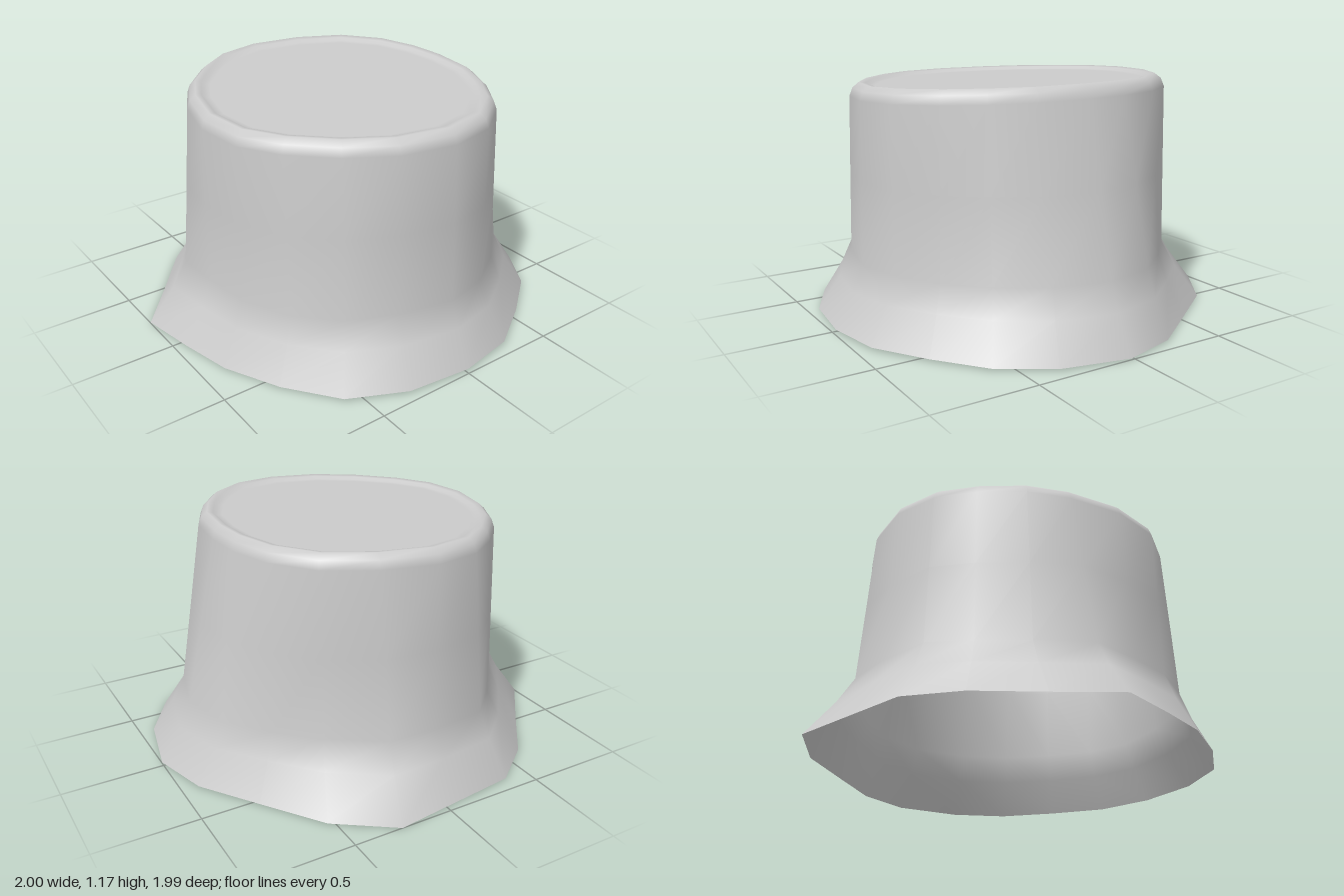
import * as THREE from 'three';

// Outlines as x, z pairs, all running from +x towards +z
const HEM = [1, .02, .93, .35, .78, .59, .55, .77, .3, .93, .01, .985, -.31, .95, -.58, .82, -.76, .58, -.89, .31,
  -.95, .04, -1, -.24, -.8, -.49, -.6, -.75, -.38, -.92, -.06, -.96, .26, -1, .53, -.81, .73, -.53, .92, -.26];
const WAIST = [.84, .01, .77, .28, .63, .5, .45, .66, .25, .79, .02, .845, -.25, .79, -.48, .69, -.65, .51, -.76, .27,
  -.79, .03, -.8, -.2, -.64, -.43, -.48, -.62, -.32, -.77, -.05, -.8, .2, -.79, .45, -.62, .62, -.45, .78, -.25];
const CROWN = [.67, .02, .64, .27, .55, .47, .43, .64, .24, .78, .01, .825, -.25, .77, -.46, .64, -.64, .46, -.75, .27,
  -.775, .02, -.71, -.24, -.61, -.43, -.45, -.6, -.28, -.72, -.05, -.77, .22, -.72, .45, -.6, .6, -.4, .66, -.18];
const N = HEM.length / 2;
const CENTRE = [-.05, .02];

// Blend two outlines into a ring of 3D points at a height
const ring = (a, b, t, height) => Array.from({ length: N }, (_, i) => {
  const x = THREE.MathUtils.lerp(a[2 * i], b[2 * i], t);
  const z = THREE.MathUtils.lerp(a[2 * i + 1], b[2 * i + 1], t);
  return [x, height(x, z), z];
});

// Skin a stack of rings, optionally closing the last one at a point
function skin(rings, tip) {
  const positions = rings.flat(2);
  const index = [];
  for (let r = 0; r < rings.length - 1; r++) {
    for (let i = 0; i < N; i++) {
      const a = r * N + i, b = r * N + (i + 1) % N;
      index.push(a, a + N, b, b, a + N, b + N);
    }
  }
  if (tip) {
    positions.push(...tip);
    const base = (rings.length - 1) * N;
    for (let i = 0; i < N; i++) index.push(base + i, rings.length * N, base + (i + 1) % N);
  }
  const geometry = new THREE.BufferGeometry();
  geometry.setAttribute('position', new THREE.Float32BufferAttribute(positions, 3));
  geometry.setIndex(index);
  geometry.computeVertexNormals();
  return geometry;
}

export function createModel() {
  const group = new THREE.Group();
  const material = new THREE.MeshStandardMaterial({ color: 0xcccccc, side: THREE.DoubleSide });

  // The rim is slightly higher towards +x and the back
  const tilt = (y) => (x, z) => y + .02 * x - .015 * z;
  const flat = (y) => () => y;
  const middle = CROWN.map((_, i) => CENTRE[i % 2]);

  // Flared hem, tall wall, rounded lip and flat lid in one smooth, hollow shell
  const shell = new THREE.Mesh(skin([
    ring(HEM, WAIST, 0, (x, z) => .007 + .006 * z),
    ring(HEM, WAIST, .64, flat(.18)),
    ring(HEM, WAIST, 1, flat(.31)),
    ring(WAIST, CROWN, .5, flat(.7)),
    ring(CROWN, middle, 0, tilt(1.09)),
    ring(CROWN, middle, .02, tilt(1.13)),
    ring(CROWN, middle, .06, tilt(1.155)),
    ring(CROWN, middle, .1, tilt(1.15)),
    ring(CROWN, middle, .12, tilt(1.137)),
    ring(CROWN, middle, .16, tilt(1.135)),
  ], [CENTRE[0], 1.135, CENTRE[1]]), material);
  shell.name = 'hollowFlaredShell';
  group.add(shell);
  return group;
}
